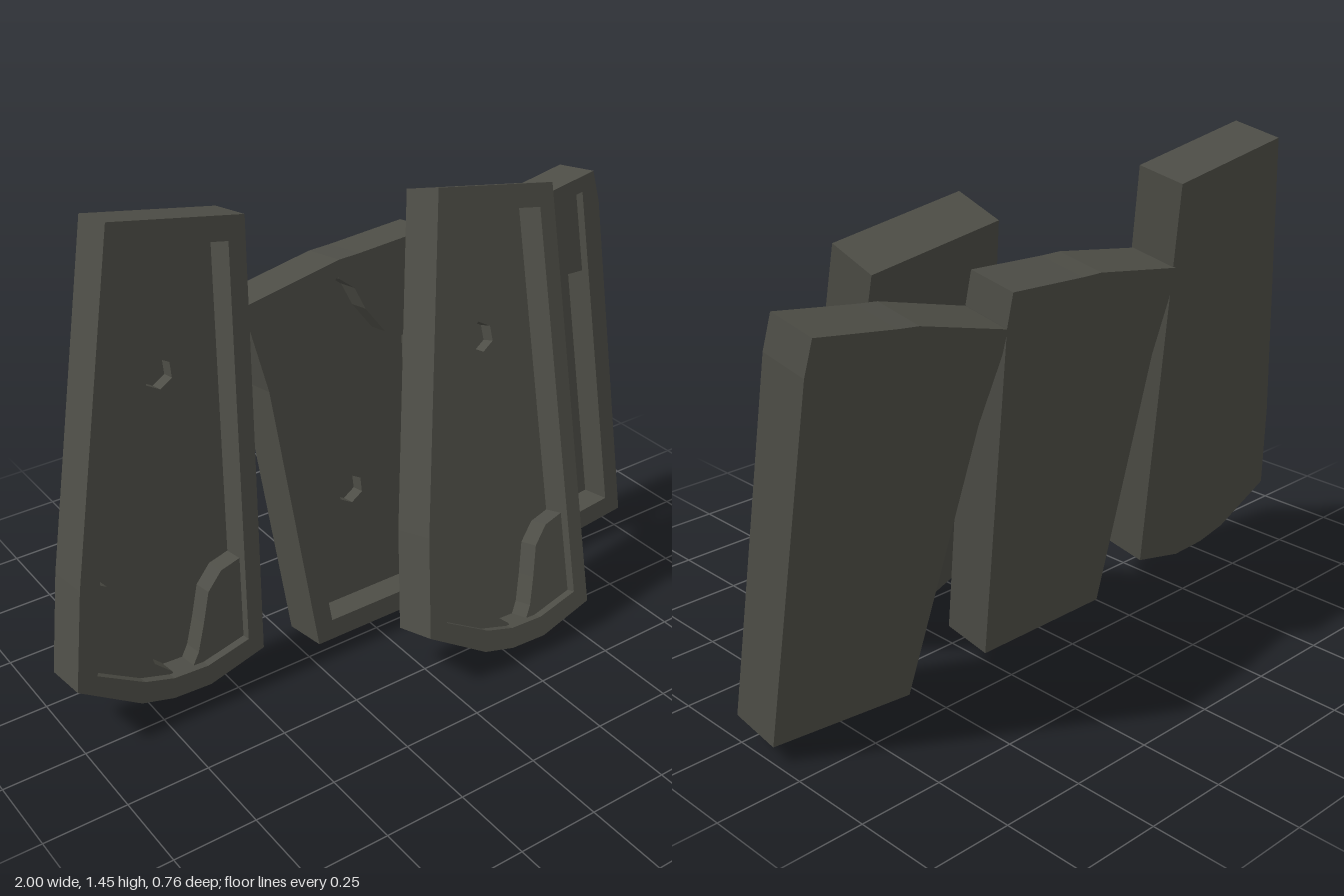
import * as THREE from 'three';

const TILT = THREE.MathUtils.degToRad(10);
const THICK = 0.158, RECESS = 0.1, HOLE = 0.045;

export function createModel() {
  const model = new THREE.Group();
  const darkGrey = new THREE.MeshStandardMaterial({ color: 0x4d4d46 });

  // points are heights on the leaning face, stretched to true length
  const pts = (list) => list.map(([x, y]) => new THREE.Vector2(x, y / Math.cos(TILT)));

  const hexagon = ([x, y], r) => Array.from({ length: 6 }, (_, i) => {
    const a = Math.PI / 6 + i * Math.PI / 3;
    return new THREE.Vector2(x + r * Math.cos(a), y / Math.cos(TILT) + r * Math.sin(a));
  });

  function slab(name, outline, hole, front, depth) {
    const shape = new THREE.Shape(outline);
    if (hole) shape.holes.push(new THREE.Path(hole));
    const geo = new THREE.ExtrudeGeometry(shape, { depth, bevelEnabled: false });
    geo.translate(0, 0, front - depth);
    const mesh = new THREE.Mesh(geo, darkGrey);
    mesh.name = name;
    return mesh;
  }

  // hollow panel: rim, floor with a blind hexagonal hole, back and corner pads
  function panel(name, { outline, inner, hex, pads }) {
    const group = new THREE.Group();
    group.name = name;
    const edge = pts(outline);
    group.add(
      slab('rim', edge, pts(inner), 0, RECESS),
      slab('floor', edge, hexagon(hex, 0.046), -RECESS, HOLE),
      slab('back', edge, null, -RECESS - HOLE, THICK - RECESS - HOLE),
    );
    for (const pad of pads) group.add(slab('cornerPad', pts(pad), null, -0.03, RECESS - 0.03));
    return group;
  }

  function lean(part, angle, z) {
    const holder = new THREE.Group();
    holder.name = part.name + 'Lean';
    holder.add(part);
    holder.rotation.x = -angle;
    holder.position.z = z;
    model.add(holder);
    return holder;
  }

  // long panel with a rounded lower end
  const longPanel = {
    outline: [[-0.69, 1.45], [-0.94, 0.5], [-1, 0.215], [-0.82, 0.105], [-0.72, 0.08],
      [-0.6, 0.075], [-0.415, 0.12], [-0.285, 1.38]],
    inner: [[-0.65, 1.375], [-0.88, 0.5], [-0.935, 0.24], [-0.8, 0.165], [-0.71, 0.14],
      [-0.6, 0.135], [-0.46, 0.165], [-0.345, 1.32]],
    hex: [-0.565, 0.985],
    pads: [
      [[-0.9, 0.5], [-0.95, 0.24], [-0.8, 0.15], [-0.7, 0.125], [-0.7, 0.145], [-0.75, 0.19],
        [-0.775, 0.3], [-0.8, 0.4], [-0.85, 0.47]],
      [[-0.64, 0.125], [-0.44, 0.15], [-0.42, 0.41], [-0.5, 0.39], [-0.55, 0.34],
        [-0.58, 0.25], [-0.61, 0.17]],
    ],
  };

  // shorter panel with a wide, slightly peaked top
  const shortPanel = {
    outline: [[-0.225, 0.05], [0.245, 0.05], [0.335, 1.1], [0.33, 1.2], [0.07, 1.185],
      [0, 1.183], [-0.315, 1.13], [-0.315, 1.06], [-0.28, 0.87]],
    inner: [[-0.17, 0.11], [0.195, 0.11], [0.275, 1.15], [0.07, 1.138], [0, 1.135],
      [-0.26, 1.09], [-0.225, 0.86]],
    hex: [0.01, 0.45],
    pads: [
      [[-0.245, 0.855], [-0.17, 0.875], [-0.1, 0.93], [-0.07, 1.05], [-0.04, 1.1],
        [0, 1.12], [0, 1.15], [-0.28, 1.1]],
      [[0.275, 0.89], [0.2, 0.9], [0.15, 0.925], [0.09, 1.01], [0.06, 1.08],
        [0.01, 1.12], [0.01, 1.15], [0.29, 1.165]],
    ],
  };

  lean(panel('leftLongPanel', longPanel), TILT, 0.033);
  lean(panel('middleShortPanel', shortPanel), TILT, 0.028);

  // second short panel, fanned sideways about its foot
  const side = panel('sideShortPanel', shortPanel);
  side.rotation.z = 0.1;
  side.position.set(0.76, 0.005, 0);
  lean(side, TILT, 0.028);

  // second long panel, leaning further on a hexagonal pin
  const front = panel('frontLongPanel', longPanel);
  front.position.set(0.953, -0.02, 0);
  const leaning = lean(front, THREE.MathUtils.degToRad(18.8), 0.4);
  const pin = new THREE.Mesh(
    new THREE.CylinderGeometry(0.05, 0.05, 0.1, 6).toNonIndexed(), darkGrey);
  pin.geometry.computeVertexNormals();
  pin.name = 'restingPin';
  pin.rotation.x = Math.PI / 2;
  pin.position.set(0.388, 0.98, -0.2);
  leaning.add(pin);

  return model;
}
